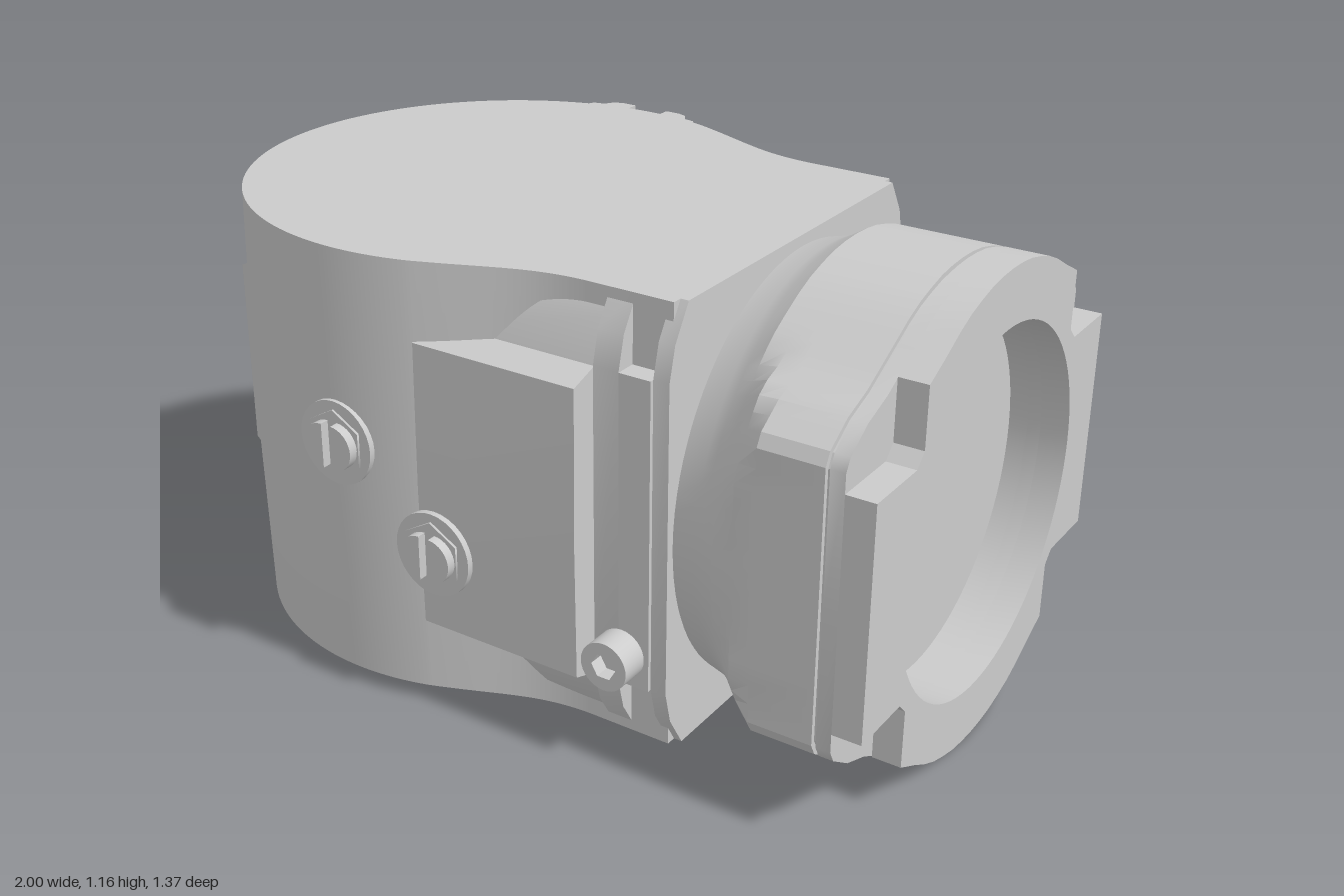
import * as THREE from 'three';
import { toCreasedNormals } from 'three/addons/utils/BufferGeometryUtils.js';

const grey = new THREE.MeshStandardMaterial({ color: 0xcccccc, side: THREE.DoubleSide });
const CY = 0.58; // height of the motor axis

const toShape = (pts) => new THREE.Shape(pts.map(([a, b]) => new THREE.Vector2(a, b)));

// Mirror a quarter outline (z, y) into a full loop around the axis
function mirrorQuarter(q) {
  const half = [...q, ...q.slice().reverse().filter(([z]) => z > 0).map(([z, y]) => [-z, y])];
  const low = half.slice().reverse().filter(([, y]) => y > 0).map(([z, y]) => [z, -y]);
  return [...half, ...low];
}

// Extrude a (z, y) section along x
function alongX(shape, x0, x1) {
  const g = new THREE.ExtrudeGeometry(shape, { depth: x1 - x0, bevelEnabled: false, curveSegments: 40 });
  g.rotateY(Math.PI / 2).translate(x0, 0, 0);
  return toCreasedNormals(g, 0.5);
}

// Extrude a plan outline (x, -z) upwards
function alongY(shape, y0, y1, steps = 1, move) {
  const g = new THREE.ExtrudeGeometry(shape, { depth: y1 - y0, steps, bevelEnabled: false, curveSegments: 64 });
  g.rotateX(-Math.PI / 2).translate(0, y0, 0);
  if (move) {
    const p = g.attributes.position, v = new THREE.Vector3();
    for (let i = 0; i < p.count; i++) {
      move(v.fromBufferAttribute(p, i));
      p.setXYZ(i, v.x, v.y, v.z);
    }
  }
  return toCreasedNormals(g, 0.4);
}

export function createModel() {
  const model = new THREE.Group();
  const add = (name, geo, parent = model) => {
    const m = new THREE.Mesh(geo, grey);
    m.name = name;
    parent.add(m);
    return m;
  };

  // Round housing that narrows to the flange, slightly fuller at mid height
  const body = new THREE.Shape();
  const a = 1.26;
  body.moveTo(0.47, -0.485);
  body.lineTo(0.47, 0.485);
  body.lineTo(0.25, 0.485);
  body.bezierCurveTo(0.1, 0.49, 0.04, 0.54, -0.33 + 0.635 * Math.cos(a), 0.635 * Math.sin(a));
  body.absarc(-0.33, 0, 0.635, a, 2 * Math.PI - a, false);
  body.bezierCurveTo(0.04, -0.54, 0.1, -0.49, 0.25, -0.485);
  add('housing', alongY(body, 0.04, 1.125, 2, (v) => {
    const k = Math.abs(v.y - 0.5825) < 0.1 ? 1.016 : 1;
    v.x = v.x < 0.2 ? -0.33 + (v.x + 0.33) * k : v.x;
    v.z *= k;
  }));

  // Side cheeks that blend the housing into the flange
  const front = [[-0.3, 0.045], [-0.45, 0.045], [-0.5, 0.1], [-0.535, 0.2], [-0.61, 0.225],
    [-0.615, 0.58], [-0.61, 0.935], [-0.535, 0.96], [-0.5, 1.06], [-0.45, 1.12], [-0.3, 1.12]];
  const back = [[0.3, 0.045], [0.44, 0.045], [0.5, 0.08], [0.54, 0.15], [0.56, 0.24],
    [0.565, 0.58], [0.56, 0.92], [0.54, 1.01], [0.5, 1.085], [0.44, 1.12], [0.3, 1.12]];
  add('frontCheek', alongX(toShape(front), -0.13, 0.305));
  add('backCheek', alongX(toShape(back), -0.04, 0.305));

  // Housing flange: full plate, plate with four bolt pockets, end plate
  const loop = (q) => toShape(mirrorQuarter(q).map(([z, y]) => [z, y + 0.5825]));
  const plate = (w) => loop([[w, 0.38], [w - 0.02, 0.46], [w - 0.07, 0.5425]]);
  const flange = new THREE.Group();
  flange.name = 'housingFlange';
  model.add(flange);
  add('flangeBase', alongX(plate(0.54), 0.305, 0.37), flange);
  add('flangePockets', alongX(loop([[0.54, 0.38], [0.41, 0.38], [0.38, 0.41], [0.38, 0.5425]]), 0.37, 0.45), flange);
  add('flangeFace', alongX(plate(0.53), 0.45, 0.49), flange);

  // Motor adapter outline: round above and below, flat at the sides
  const outline = mirrorQuarter([[0.583, 0], [0.583, 0.325], [0.567, 0.355], [0.5, 0.4], [0.42, 0.43],
    [0.31, 0.49], [0.25, 0.523], [0.2, 0.545], [0.15, 0.56], [0.1, 0.572], [0.05, 0.578], [0, 0.58]]);
  const fine = [];
  outline.forEach(([z, y], i) => {
    const [z2, y2] = outline[(i + 1) % outline.length];
    const n = Math.ceil(Math.hypot(z2 - z, y2 - y) / 0.05);
    for (let k = 0; k < n; k++) fine.push([z + (z2 - z) * k / n, y + (y2 - y) * k / n]);
  });

  // Adapter body: rings of [x, largest radius, scale], from a round neck to the outline
  const rings = [[0.47, 0.5, 1], [0.5, 0.5, 1], [0.5, 0.525, 1], [0.56, 0.54, 1], [0.59, 0.555, 1],
    [0.63, 0.582, 1], [0.68, 0.63, 1], [0.73, 0.68, 1], [0.885, 0.7, 1], [0.885, 0.7, 0.98], [0.895, 0.7, 0.98]];
  const pos = [], idx = [], n = fine.length;
  rings.forEach(([x, r, s], i) => fine.forEach(([z, y], j) => {
    const k = s * Math.min(1, r / Math.hypot(z, y));
    pos.push(x, CY + y * k, z * k);
    if (i === 0) return;
    const j2 = (j + 1) % n, p = (i - 1) * n, q = i * n;
    idx.push(p + j, q + j2, p + j2, p + j, q + j, q + j2);
  }));
  const loft = new THREE.BufferGeometry();
  loft.setAttribute('position', new THREE.Float32BufferAttribute(pos, 3));
  loft.setIndex(idx);
  add('motorAdapter', toCreasedNormals(loft, 0.4));

  // End ring with a round bore and four corner notches
  const bored = (pts) => {
    const s = toShape(pts.map(([z, y]) => [z, y + CY]));
    s.holes.push(new THREE.Path().absarc(0, CY, 0.44, 0, 2 * Math.PI, true));
    return s;
  };
  const notched = mirrorQuarter([[0.583, 0.28], [0.41, 0.28], [0.38, 0.31], [0.38, 0.455], [0.31, 0.49],
    [0.25, 0.523], [0.2, 0.545], [0.15, 0.56], [0.1, 0.572], [0.05, 0.578], [0, 0.58]]);
  add('endRing', alongX(bored(outline), 0.895, 0.93));
  add('endRingNotched', alongX(bored(notched), 0.93, 1));
  const bore = new THREE.CylinderGeometry(0.44, 0.44, 0.05, 80, 1, true);
  add('boreWall', bore.rotateZ(Math.PI / 2).translate(0.872, CY, 0));
  add('boreFloor', new THREE.CircleGeometry(0.44, 80).rotateY(Math.PI / 2).translate(0.85, CY, 0));

  // Rear boss with a slot open at the top
  const slant = (v) => { if (v.z < -0.63) v.z += (v.y - 0.58) * 0.035; };
  const left = [[-0.52, 0.58], [-0.5, 0.625], [-0.47, 0.65], [-0.455, 0.675], [-0.43, 0.684]];
  const right = left.map(([x, z]) => [-0.68 - x, z]).reverse();
  const slot = [[-0.39, 0.684], [-0.39, 0.64], [-0.365, 0.62], [-0.315, 0.62], [-0.29, 0.64], [-0.29, 0.684]];
  add('rearBoss', alongY(toShape([...left, ...right]), 0.58, 1.0, 1, slant));
  add('rearBossSlotted', alongY(toShape([...left, ...slot, ...right]), 1.0, 1.125, 1, slant));

  // Raised pad on the round end, tapering outwards
  const pad = new THREE.BoxGeometry(0.1, 0.6, 0.57);
  const pp = pad.attributes.position;
  for (let i = 0; i < pp.count; i++) {
    if (pp.getX(i) < 0) pp.setXYZ(i, -0.05, pp.getY(i) * 0.82, pp.getZ(i) * 0.9);
  }
  pad.computeVertexNormals();
  add('endPad', pad.translate(-0.95, 0.575, 0));

  // Slotted plugs on the front
  const disc = (r, z0, z1, sides, start = 0, arc = 2 * Math.PI) =>
    new THREE.CylinderGeometry(r, r, z1 - z0, sides, 1, false, start, arc)
      .rotateX(Math.PI / 2).translate(0, 0, (z0 + z1) / 2);
  for (const [x, y, z] of [[-0.34, 0.65, 0.648], [-0.085, 0.425, 0.625]]) {
    const plug = new THREE.Group();
    plug.name = 'plug';
    plug.position.set(x, y, z);
    add('plugSeat', disc(0.105, -0.06, 0.004, 32), plug);
    add('plugHex', disc(0.085, -0.02, 0.01, 6), plug);
    for (const s of [0, 1]) {
      const half = add('plugHead', disc(0.056, 0, 0.033, 16, s * Math.PI, Math.PI), plug);
      half.position.x = s ? -0.014 : 0.014;
      const cut = add('slotSide', new THREE.PlaneGeometry(0.033, 0.112).rotateY(Math.PI / 2), plug);
      cut.position.set(half.position.x, 0, 0.0165);
    }
    model.add(plug);
  }

  // Socket head screw beside the flange
  const screw = new THREE.Shape().absarc(0, 0, 0.06, 0, 2 * Math.PI, false);
  const hex = [0, 1, 2, 3, 4, 5].map((i) => new THREE.Vector2(0.032 * Math.cos(i * Math.PI / 3), -0.032 * Math.sin(i * Math.PI / 3)));
  screw.holes.push(new THREE.Path(hex));
  const head = new THREE.ExtrudeGeometry(screw, { depth: 0.1, bevelEnabled: false, curveSegments: 16 });
  add('socketScrew', toCreasedNormals(head, 0.5).translate(0.378, 0.28, 0.512));
  add('socketFloor', new THREE.CircleGeometry(0.04, 16).translate(0.378, 0.28, 0.575));

  return model;
}
